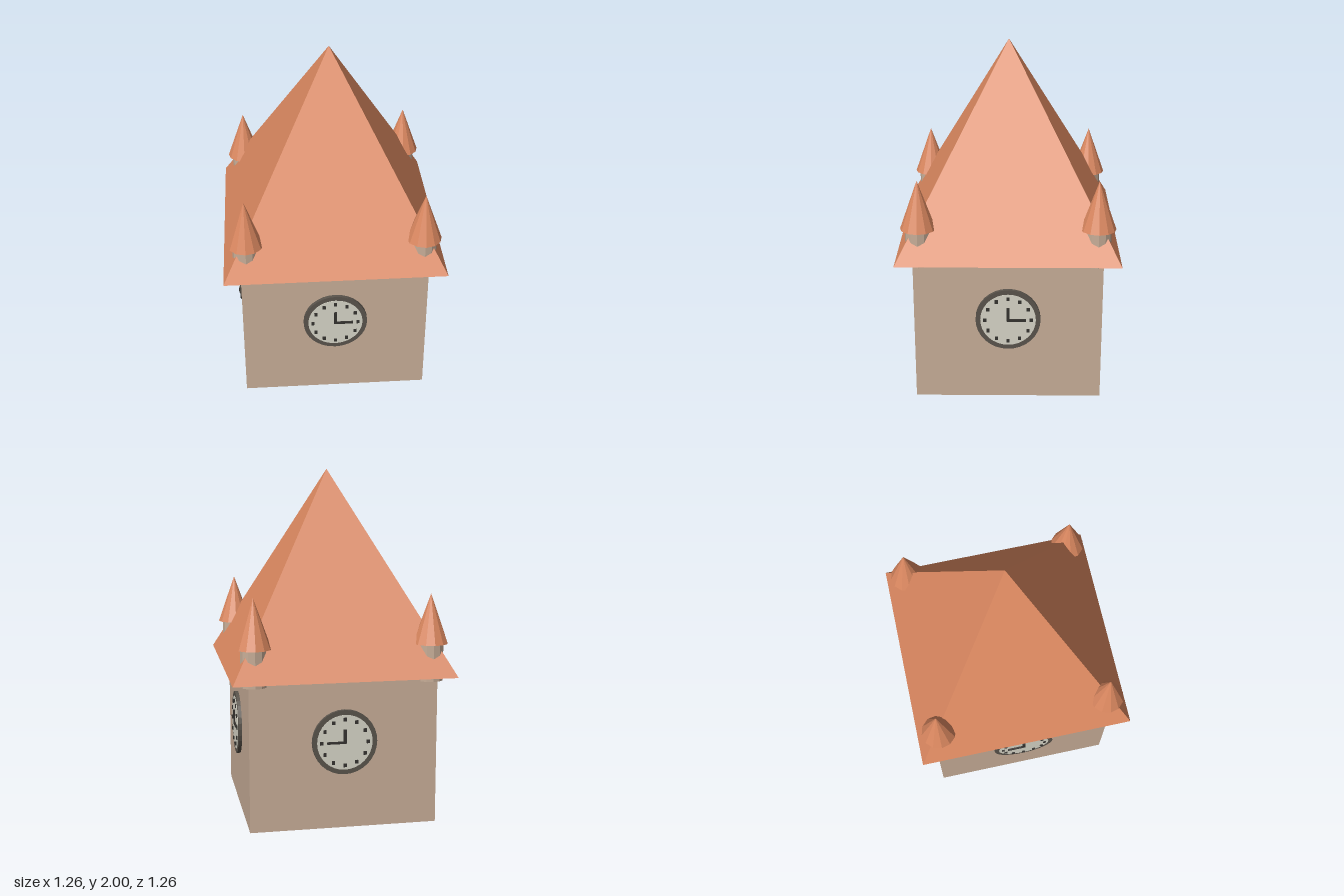
import * as THREE from 'three';

const material = (color) => new THREE.MeshStandardMaterial({ color, flatShading: true });
const stone = material(0xc8ae98);
const tile = material(0xdb8860);
const rimGrey = material(0x5a544c);
const dialCream = material(0xd8d6c8);
const ink = material(0x34322f);

function add(parent, name, geometry, mat, x = 0, y = 0, z = 0) {
  const mesh = new THREE.Mesh(geometry, mat);
  mesh.name = name;
  mesh.position.set(x, y, z);
  parent.add(mesh);
  return mesh;
}

// Clock built facing +z, its back on z = 0; side = 1 or -1 is where the long hand points
function createClock(side) {
  const clock = new THREE.Group();
  clock.name = 'clock';
  const disc = (r, depth) => new THREE.CylinderGeometry(r, r, depth, 32).rotateX(Math.PI / 2);
  add(clock, 'clockRim', disc(0.185, 0.022), rimGrey, 0, 0, 0.011);
  add(clock, 'clockDial', disc(0.158, 0.024), dialCream, 0, 0, 0.012);
  for (let i = 0; i < 12; i++) {
    const a = (i / 12) * Math.PI * 2;
    add(clock, 'hourMark', new THREE.BoxGeometry(0.018, 0.02, 0.01), ink,
      Math.sin(a) * 0.132, Math.cos(a) * 0.132, 0.025);
  }
  add(clock, 'hourHand', new THREE.BoxGeometry(0.016, 0.08, 0.01), ink, 0, 0.035, 0.029);
  add(clock, 'minuteHand', new THREE.BoxGeometry(0.108, 0.012, 0.01), ink, side * 0.048, 0, 0.029);
  return clock;
}

// Round corner turret with a pointed cap
function createTurret(x, z) {
  const turret = new THREE.Group();
  turret.name = 'cornerTurret';
  turret.position.set(x, 0, z);
  add(turret, 'turretWall', new THREE.CylinderGeometry(0.075, 0.075, 0.21, 12), stone, 0, 0.935, 0);
  add(turret, 'turretCap', new THREE.ConeGeometry(0.1, 0.28, 12), tile, 0, 1.18, 0);
  return turret;
}

export function createModel() {
  const tower = new THREE.Group();
  tower.name = 'clockTower';

  // Square body and pyramid roof
  add(tower, 'towerWalls', new THREE.BoxGeometry(1.07, 0.87, 1.07), stone, 0, 0.435, 0);
  const pyramid = new THREE.ConeGeometry(0.63 * Math.SQRT2, 1.14, 4).rotateY(Math.PI / 4);
  add(tower, 'roof', pyramid, tile, 0, 1.43, 0);

  // One clock per wall; the back and right ones are mirrored
  for (let i = 0; i < 4; i++) {
    const a = (i * Math.PI) / 2;
    const clock = createClock(i < 2 ? 1 : -1);
    clock.position.set(Math.sin(a) * 0.533, 0.503, Math.cos(a) * 0.533);
    clock.rotation.y = a;
    tower.add(clock);
  }

  // Turrets on the four corners
  for (const x of [-0.5, 0.5]) for (const z of [-0.5, 0.5]) tower.add(createTurret(x, z));

  return tower;
}
